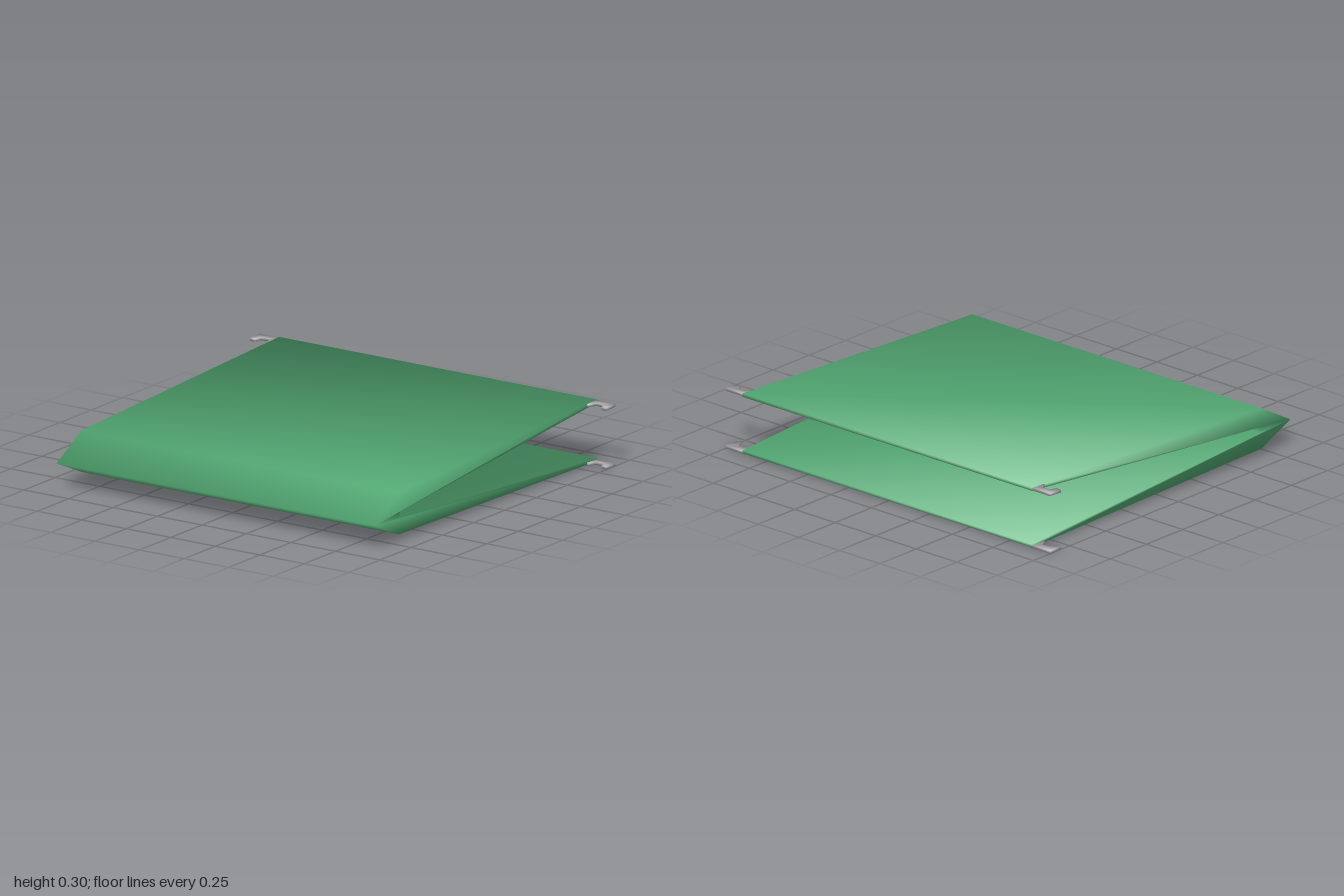
import * as THREE from 'three';
import { mergeVertices } from 'three/addons/utils/BufferGeometryUtils.js';

// Extrudes a profile and shares its corners, so shading rolls softly over the edges.
function softExtrude(points, depth) {
  const shape = new THREE.Shape(points.map(([x, y]) => new THREE.Vector2(x, y)));
  let geo = new THREE.ExtrudeGeometry(shape, { depth, bevelEnabled: false });
  geo.translate(0, 0, -depth / 2);
  geo.deleteAttribute('normal');
  geo.deleteAttribute('uv');
  geo.clearGroups();
  geo = mergeVertices(geo, 1e-4);

  // Normals averaged by corner angle rather than by face area
  const pos = geo.attributes.position;
  const sums = Array.from({ length: pos.count }, () => new THREE.Vector3());
  for (let i = 0; i < geo.index.count; i += 3) {
    const ids = [0, 1, 2].map((k) => geo.index.getX(i + k));
    const p = ids.map((id) => new THREE.Vector3().fromBufferAttribute(pos, id));
    const face = new THREE.Triangle(...p).getNormal(new THREE.Vector3());
    for (let k = 0; k < 3; k++) {
      const a = p[(k + 1) % 3].clone().sub(p[k]);
      const b = p[(k + 2) % 3].clone().sub(p[k]);
      sums[ids[k]].addScaledVector(face, a.angleTo(b));
    }
  }
  const normals = sums.flatMap((n) => n.normalize().toArray());
  geo.setAttribute('normal', new THREE.Float32BufferAttribute(normals, 3));
  return geo;
}

export function createModel() {
  const group = new THREE.Group();
  group.name = 'hangingFolder';
  const green = new THREE.MeshStandardMaterial({ color: 0x58b27a });
  green.name = 'folder green';
  const grey = new THREE.MeshStandardMaterial({ color: 0xa9a5a9 });
  grey.name = 'metal grey';

  // Folded body: a pointed spine with two tapering flaps
  const body = new THREE.Mesh(softExtrude([
    [-0.892, 0.12], [-0.695, 0.033], [0.89, 0.006], [0.89, 0.02],
    [-0.69, 0.11], [-0.69, 0.14], [0.89, 0.285], [0.89, 0.301], [-0.695, 0.231],
  ], 1.786), green);
  body.name = 'folderBody';
  group.add(body);

  // Notched hanging hooks at both ends of each flap's free edge
  const hookGeo = softExtrude([
    [0.885, -0.88], [0.885, -1], [0.81, -1], [0.81, -0.975],
    [0.842, -0.962], [0.85, -0.925], [0.838, -0.912], [0.81, -0.9], [0.81, -0.88],
  ].reverse(), 0.014);
  hookGeo.rotateX(Math.PI / 2);
  hookGeo.translate(-0.85, 0, 0);
  for (const [level, y, tilt] of [['upper', 0.291, 0.04], ['lower', 0.0085, -0.015]]) {
    for (const [end, turn] of [['Back', 0], ['Front', Math.PI]]) {
      const hook = new THREE.Mesh(hookGeo, grey);
      hook.name = level + end + 'Hook';
      // Mirror front to back by flipping over, keeping the notch facing the spine
      hook.rotation.x = turn;
      const holder = new THREE.Group();
      holder.name = hook.name + 'Mount';
      holder.position.set(0.85, y, 0);
      holder.rotation.z = tilt;
      holder.add(hook);
      group.add(holder);
    }
  }
  return group;
}
